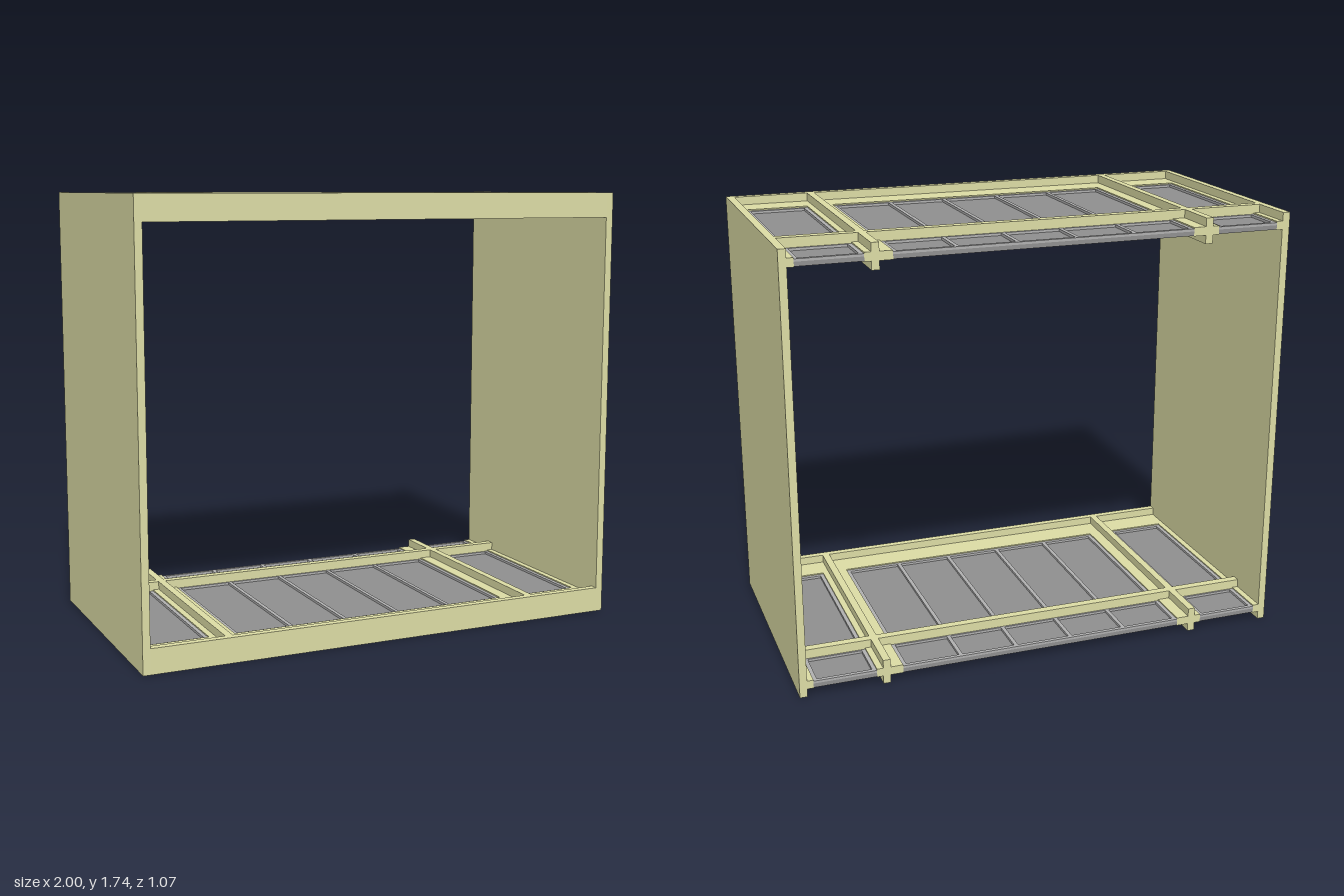
import * as THREE from 'three';

const W = 1, H = 1.74, D = 0.533;   // half width, height, half depth
const T = 0.03, BEAM = 0.1;         // board thickness, beam height

const cream = new THREE.MeshStandardMaterial({ color: 0xdcdca5 });
const frameGrey = new THREE.MeshStandardMaterial({ color: 0xb0b0b0 });
const paneGrey = new THREE.MeshStandardMaterial({ color: 0x8f8f8f });

// Box given by its limits on each axis
function box(parent, name, material, [x0, x1], [y0, y1], [z0, z1]) {
  const mesh = new THREE.Mesh(new THREE.BoxGeometry(x1 - x0, y1 - y0, z1 - z0), material);
  mesh.position.set((x0 + x1) / 2, (y0 + y1) / 2, (z0 + z1) / 2);
  mesh.name = name;
  parent.add(mesh);
}

// Sheet with a raised grid of strips dividing it into panes
function gridPanel(name, x0, x1, columns) {
  const panel = new THREE.Group();
  panel.name = name;
  const z0 = -D, z1 = 0.39, s = 0.016, y = [0.052, 0.062];
  box(panel, 'paneSheet', paneGrey, [x0, x1], [0.035, 0.052], [z0, z1]);
  for (let i = 0; i <= columns; i++) {
    const x = x0 + (x1 - x0 - s) * i / columns;
    box(panel, 'gridStrip', frameGrey, [x, x + s], y, [z0, z1]);
  }
  for (const [a, b] of [[z0, z0 + s], [-0.358, -0.308], [z1 - s, z1]]) {
    box(panel, 'crossStrip', frameGrey, [x0 + s, x1 - s], y, [a, b]);
  }
  return panel;
}

// One horizontal deck: beams, ledges and three grid panels
function deck(name) {
  const g = new THREE.Group();
  g.name = name;
  const inner = W - T, full = [0, BEAM], ledge = [0.033, 0.067];
  const zBeam = [-D, D - T], zLedge = [-D, 0.39];
  box(g, 'frontBeam', cream, [-inner, inner], full, [D - T, D]);
  box(g, 'frontLedge', cream, [-inner, inner], ledge, [0.39, D - T]);
  box(g, 'crossBeam', cream, [-inner, inner], full, [-0.35, -0.316]);
  for (const side of [-1, 1]) {
    const span = (a, b) => (side > 0 ? [a, b] : [-b, -a]);
    box(g, 'longBeam', cream, span(0.64, 0.67), full, zBeam);
    box(g, 'innerLedge', cream, span(0.59, 0.64), ledge, zLedge);
    box(g, 'outerLedge', cream, span(0.67, 0.695), ledge, zLedge);
    box(g, 'wallLedge', cream, span(0.945, inner), ledge, zLedge);
    g.add(gridPanel('sidePanel', ...span(0.695, 0.945), 1));
  }
  g.add(gridPanel('middlePanel', -0.59, 0.59, 5));
  return g;
}

export function createModel() {
  const model = new THREE.Group();
  model.name = 'openCabinetFrame';
  box(model, 'leftWall', cream, [W - T, W], [0, H], [-D, D]);
  box(model, 'rightWall', cream, [-W, T - W], [0, H], [-D, D]);
  const top = deck('topDeck');
  top.position.y = H - BEAM;
  model.add(deck('bottomDeck'), top);
  return model;
}
